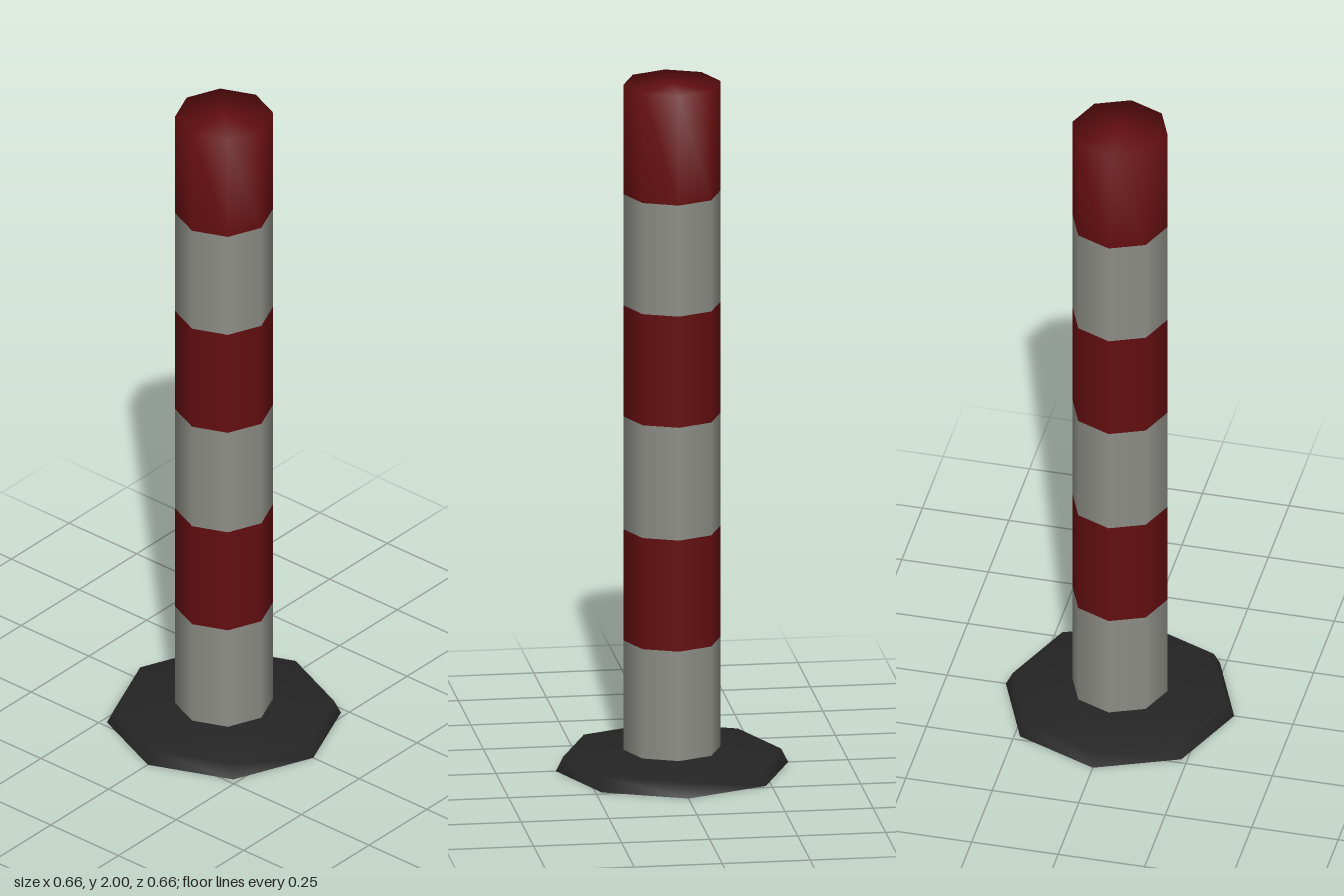
import * as THREE from 'three';

const SIDES = 8;
const POLE_RADIUS = 0.138;

function material(name, color) {
  const m = new THREE.MeshStandardMaterial({ color, side: THREE.DoubleSide });
  m.name = name;
  return m;
}

// Octagonal surface of revolution from [radius, height] pairs, bottom to top
function turned(name, profile, mat) {
  const points = profile.map(([r, y]) => new THREE.Vector2(r, y));
  const mesh = new THREE.Mesh(new THREE.LatheGeometry(points, SIDES), mat);
  mesh.name = name;
  return mesh;
}

export function createModel() {
  const group = new THREE.Group();
  group.name = 'bollard';
  const red = material('red', 0x640e10);
  const white = material('greyWhite', 0x8e8e87);
  const black = material('blackRubber', 0x242424);

  // Hollow foot: sloped rim, then a shallow rise to the pole
  group.add(turned('base', [[0.33, 0], [0.31, 0.04], [POLE_RADIUS, 0.055]], black));

  // Alternating bands of the pole, open at the bottom and closed on top
  const heights = [0.05, 0.375, 0.7, 1.03, 1.355, 1.68, 2];
  for (let i = 0; i < heights.length - 1; i++) {
    const profile = [[POLE_RADIUS, heights[i]], [POLE_RADIUS, heights[i + 1]]];
    if (i === heights.length - 2) profile.push([0, 2]);
    group.add(turned(`poleBand${i + 1}`, profile, i % 2 ? red : white));
  }
  return group;
}
